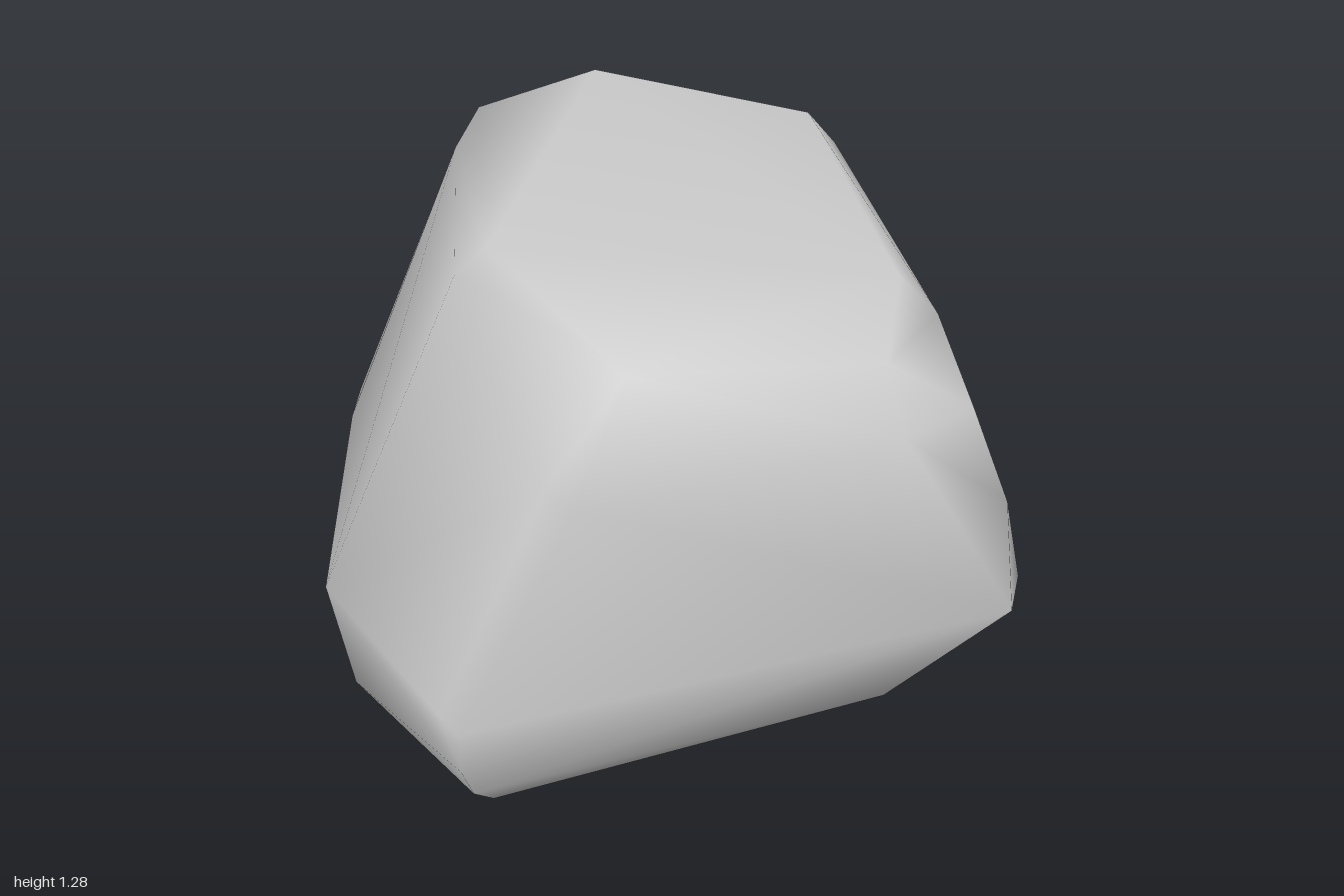
import * as THREE from 'three';
import { ConvexGeometry } from 'three/addons/geometries/ConvexGeometry.js';
import { mergeVertices } from 'three/addons/utils/BufferGeometryUtils.js';

// Corner points of the boulder as [x, y, z], level by level
const base = [
  [-0.53, 0.02, 0.88], [-0.78, 0.01, 0.47], [-0.75, 0.02, -0.12], [-0.62, 0.02, -0.42],
  [0.02, 0.02, -0.95], [0.6, 0.04, -0.86], [0.65, 0, -0.5], [0.67, 0, 0.42],
  [0.52, 0.01, 0.66],
];
const foot = [
  [-0.61, 0.2, 0.97], [-0.58, 0.08, 0.92], [-0.84, 0.12, 0.5], [0.72, 0.07, -0.73],
];
const waist = [
  [-0.61, 0.34, 1], [-0.65, 0.36, 0.95], [-0.89, 0.46, 0.54], [-0.79, 0.46, -0.24],
  [-0.76, 0.46, -0.38], [-0.72, 0.46, -0.49], [0.02, 0.23, -1], [0.61, 0.3, -0.89],
  [0.84, 0.33, -0.72], [0.88, 0.33, -0.48], [0.89, 0.31, 0.48], [0.88, 0.31, 0.6],
  [0.81, 0.32, 0.75],
];
const shoulder = [
  [-0.32, 0.88, 0.91], [-0.38, 0.9, 0.86], [0.5, 0.86, 0.73], [0.81, 0.58, 0.64],
  [0.72, 0.83, 0.58], [0.67, 1, 0.4], [0.48, 1, 0.61], [-0.17, 1.11, 0.73],
  [-0.04, 1.02, -0.88], [0.63, 1.01, -0.7], [0.67, 1.01, -0.62],
];
const crown = [
  [-0.52, 1.2, 0.36], [-0.44, 1.255, 0.34], [-0.46, 1.25, -0.25], [-0.38, 1.28, -0.43],
  [-0.02, 1.245, -0.72], [-0.03, 1.13, -0.84], [0.58, 1.12, -0.6], [0.61, 1.07, -0.66],
  [0.59, 1.07, 0.32],
];

export function createModel() {
  const points = [...base, ...foot, ...waist, ...shoulder, ...crown]
    .map((p) => new THREE.Vector3(...p));

  // Hull of the corners with shared vertices, so the shading is smooth
  const hull = new ConvexGeometry(points);
  hull.deleteAttribute('normal');
  const geometry = mergeVertices(hull, 1e-4);
  geometry.computeVertexNormals();

  const boulder = new THREE.Mesh(geometry, new THREE.MeshStandardMaterial({ color: 0xcccccc }));
  boulder.name = 'boulder';

  const group = new THREE.Group();
  group.name = 'rock';
  group.add(boulder);
  return group;
}
